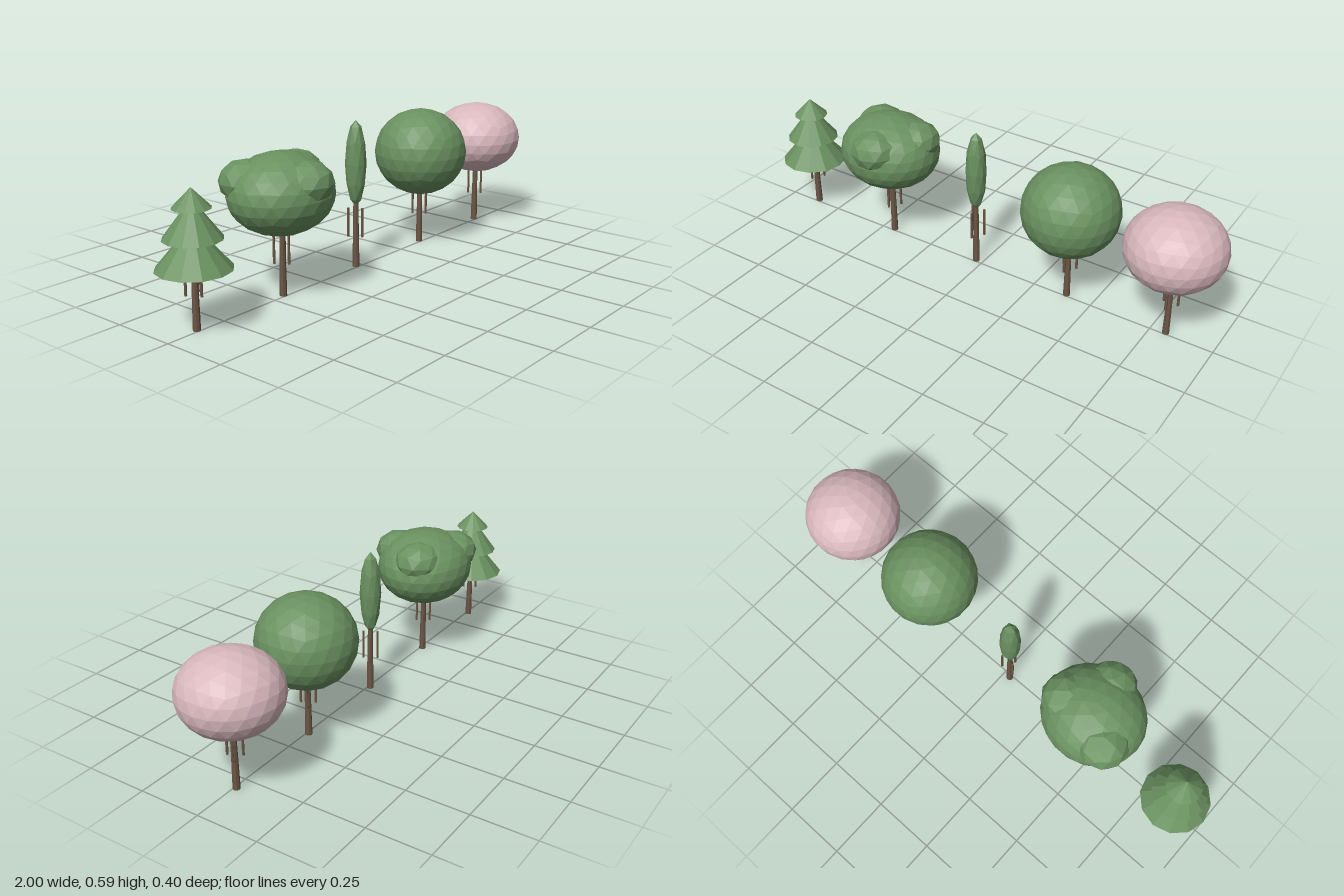
import * as THREE from 'three';

export function createModel() {
  const model = new THREE.Group();
  model.name = 'treeRow';
  const material = (name, color) => {
    const m = new THREE.MeshStandardMaterial({ color, flatShading: true });
    m.name = name;
    return m;
  };
  const bark = material('bark', 0x6b5645);
  const leaf = material('leafGreen', 0x6a9160);
  const blossom = material('blossomPink', 0xd9b8bd);

  const add = (parent, name, geometry, mat, x, y, z) => {
    const mesh = new THREE.Mesh(geometry, mat);
    mesh.name = name;
    mesh.position.set(x, y, z);
    parent.add(mesh);
    return mesh;
  };

  // Faceted ball with a vertex at each pole, stretched to an ellipsoid
  const ball = (parent, name, mat, [x, y, z], [rx, ry, rz], detail = 3) => {
    const g = new THREE.IcosahedronGeometry(1, detail);
    g.rotateZ(Math.atan(2 / (1 + Math.sqrt(5))));
    g.scale(rx, ry, rz);
    return add(parent, name, g, mat, x, y, z);
  };

  // Tapered trunk with three upright side stems
  const tree = (name, x) => {
    const g = new THREE.Group();
    g.name = name;
    g.position.set(x, 0, -0.01);
    add(g, 'trunk', new THREE.CylinderGeometry(0.01, 0.014, 0.26, 8), bark, 0, 0.13, 0);
    for (let i = 0; i < 3; i++) {
      const a = (i * Math.PI * 2) / 3;
      add(g, 'sideStem', new THREE.CylinderGeometry(0.005, 0.005, 0.117, 6), bark,
        Math.sin(a) * 0.032, 0.1865, Math.cos(a) * 0.032);
    }
    model.add(g);
    return g;
  };

  // Conifer with three stacked cones
  const conifer = tree('conifer', -0.865);
  for (const [radius, base, height] of [[0.135, 0.22, 0.16], [0.105, 0.325, 0.14], [0.068, 0.43, 0.07]]) {
    add(conifer, 'coniferTier', new THREE.ConeGeometry(radius, height, 12), leaf, 0, base + height / 2, 0);
  }

  // Broad tree with lumps on its crown
  const broad = tree('broadTree', -0.445);
  ball(broad, 'crown', leaf, [0, 0.391, 0], [0.207, 0.152, 0.19]);
  ball(broad, 'frontLump', leaf, [0.015, 0.443, 0.112], [0.1, 0.08, 0.1], 1);
  ball(broad, 'leftLump', leaf, [0.105, 0.45, -0.03], [0.102, 0.08, 0.1], 1);
  ball(broad, 'rightLump', leaf, [-0.1, 0.443, -0.075], [0.1, 0.08, 0.1], 1);

  // Slim cypress
  ball(tree('cypress', -0.03), 'crown', leaf, [0, 0.42, 0], [0.042, 0.17, 0.042], 1);

  // Round tree
  ball(tree('roundTree', 0.39), 'crown', leaf, [0, 0.392, 0], [0.19, 0.179, 0.19]);

  // Blossom tree
  ball(tree('blossomTree', 0.81), 'crown', blossom, [0, 0.383, 0], [0.19, 0.153, 0.19]);

  return model;
}
